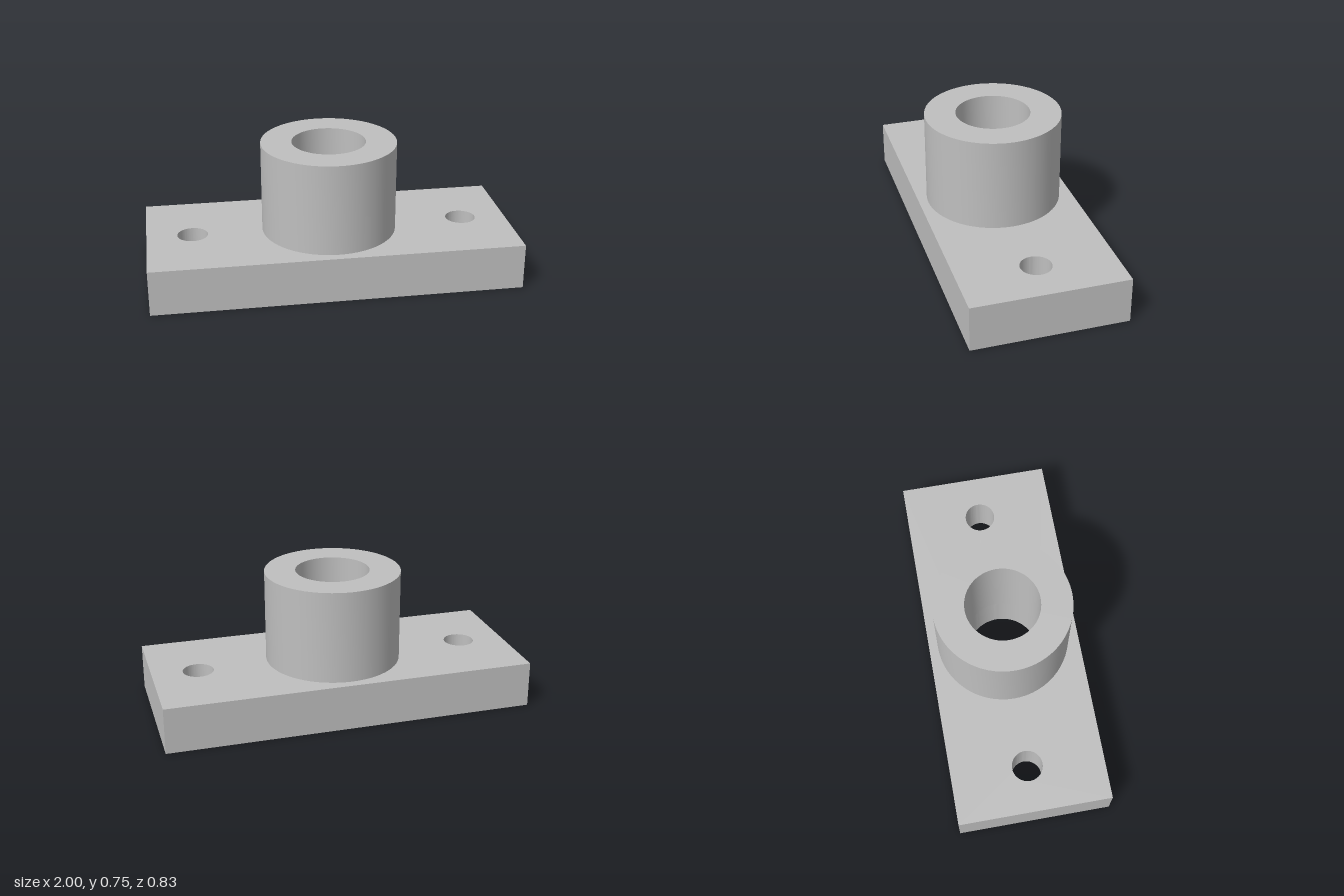
import * as THREE from 'three';
import { toCreasedNormals } from 'three/addons/utils/BufferGeometryUtils.js';

const WIDTH = 2, DEPTH = 0.833, PLATE_H = 0.25, TOP = 0.75;
const BORE_R = 0.2, BOSS_R = 0.367, BOLT_R = 0.083, BOLT_X = 0.75;

export function createModel() {
  const model = new THREE.Group();
  model.name = 'flangedBushing';
  const grey = new THREE.MeshStandardMaterial({ color: 0xbfbfbf });
  grey.name = 'grey';

  const add = (name, geometry) => {
    const mesh = new THREE.Mesh(toCreasedNormals(geometry, 0.6), grey);
    mesh.name = name;
    model.add(mesh);
  };

  // Rectangular plate with the central bore and two bolt holes
  const w = WIDTH / 2, d = DEPTH / 2;
  const outline = new THREE.Shape([
    new THREE.Vector2(-w, -d), new THREE.Vector2(w, -d),
    new THREE.Vector2(w, d), new THREE.Vector2(-w, d),
  ]);
  for (const [x, r] of [[0, BORE_R], [-BOLT_X, BOLT_R], [BOLT_X, BOLT_R]]) {
    outline.holes.push(new THREE.Path().absarc(x, 0, r, 0, Math.PI * 2, true));
  }
  const plate = new THREE.ExtrudeGeometry(outline, {
    depth: PLATE_H, bevelEnabled: false, curveSegments: 64,
  });
  plate.rotateX(-Math.PI / 2);
  add('basePlate', plate);

  // Hollow boss: outer wall, flat rim and bore wall
  const profile = [
    [BOSS_R, PLATE_H], [BOSS_R, TOP], [BORE_R, TOP], [BORE_R, PLATE_H],
  ].map(([r, y]) => new THREE.Vector2(r, y));
  add('boss', new THREE.LatheGeometry(profile, 64));

  return model;
}
